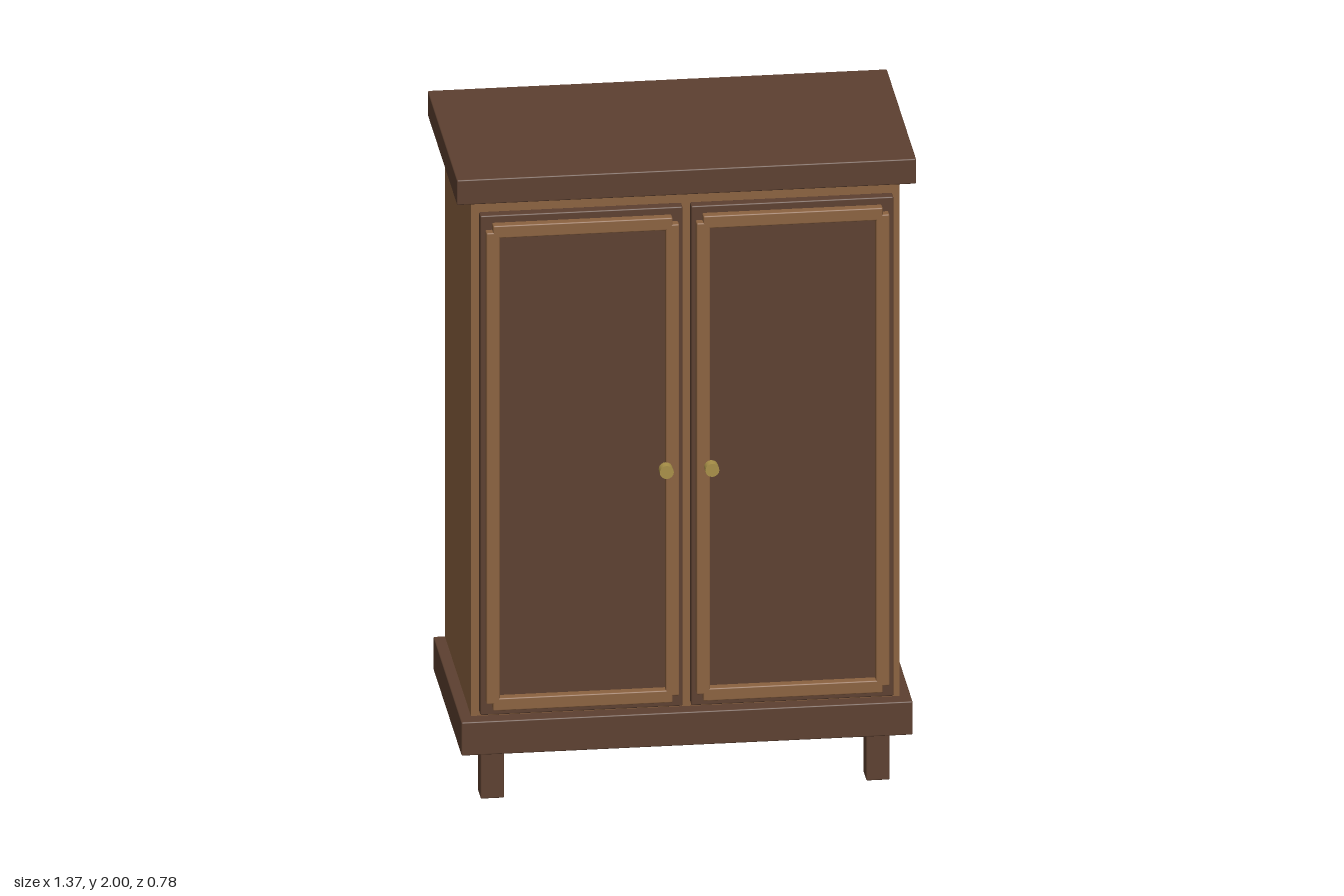
import * as THREE from 'three';
import { RoundedBoxGeometry } from 'three/addons/geometries/RoundedBoxGeometry.js';

const darkWood = new THREE.MeshStandardMaterial({ color: 0x5d4030 });
const lightWood = new THREE.MeshStandardMaterial({ color: 0x8b6240 });
const brass = new THREE.MeshStandardMaterial({ color: 0xa89048 });

// Box given by its extents, with slightly eased edges
function block(parent, name, material, [x0, x1], [y0, y1], [z0, z1], ease = 0.004) {
  const size = [Math.abs(x1 - x0), y1 - y0, z1 - z0];
  const geometry = ease ? new RoundedBoxGeometry(...size, 2, ease) : new THREE.BoxGeometry(...size);
  const mesh = new THREE.Mesh(geometry, material);
  mesh.name = name;
  mesh.position.set((x0 + x1) / 2, (y0 + y1) / 2, (z0 + z1) / 2);
  parent.add(mesh);
}

// One door with its raised moulding and knob; s is the side (+1 left, -1 right)
function createDoor(s) {
  const door = new THREE.Group();
  door.name = s > 0 ? 'leftDoor' : 'rightDoor';
  const span = (a, b) => [s * a, s * b];
  block(door, 'doorPanel', darkWood, span(0.013, 0.617), [0.285, 1.885], [0.29, 0.325]);

  // Stiles and rails overlap so that each corner is notched
  const stileY = [0.33, 1.84];
  const mouldingZ = [0.318, 0.352];
  block(door, 'innerStile', lightWood, span(0.026, 0.066), stileY, mouldingZ);
  block(door, 'outerStile', lightWood, span(0.562, 0.602), stileY, mouldingZ);
  block(door, 'bottomRail', lightWood, span(0.046, 0.582), [0.308, 0.348], mouldingZ);
  block(door, 'topRail', lightWood, span(0.046, 0.582), [1.822, 1.862], mouldingZ);

  const knob = new THREE.Mesh(new THREE.CylinderGeometry(0.021, 0.021, 0.03, 16), brass);
  knob.name = 'knob';
  knob.rotation.x = Math.PI / 2;
  knob.position.set(s * 0.068, 1.062, 0.374);
  door.add(knob);
  return door;
}

export function createModel() {
  const cabinet = new THREE.Group();
  cabinet.name = 'wardrobe';

  // Carcass
  block(cabinet, 'body', lightWood, [-0.64, 0.64], [0.26, 1.925], [-0.348, 0.282], 0);
  block(cabinet, 'plinth', darkWood, [-0.674, 0.674], [0.16, 0.267], [-0.348, 0.33]);
  block(cabinet, 'cornice', darkWood, [-0.686, 0.686], [1.92, 2], [-0.39, 0.318]);

  // Doors and legs, mirrored left to right
  for (const s of [1, -1]) {
    cabinet.add(createDoor(s));
    for (const [name, z] of [['frontLeg', 0.248], ['backLeg', -0.276]]) {
      block(cabinet, name, darkWood, [s * 0.541, s * 0.611], [0, 0.165], [z - 0.035, z + 0.035]);
    }
  }
  return cabinet;
}
